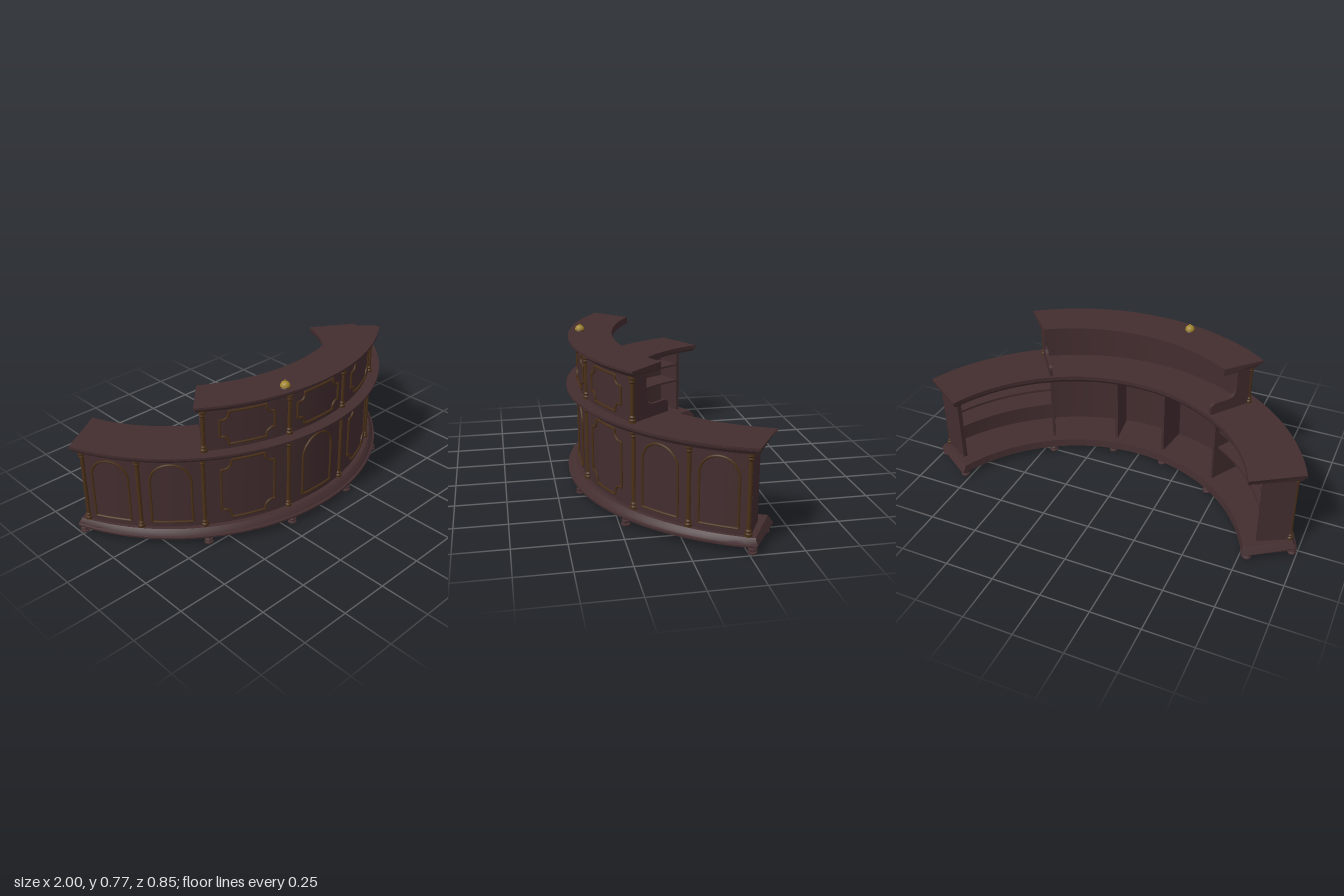
import * as THREE from 'three';
import { toCreasedNormals } from 'three/addons/utils/BufferGeometryUtils.js';

const DEG = Math.PI / 180;
const lerp = THREE.MathUtils.lerp;

// Plan rule: d runs from 0 (front counter edge) through 0.2 (front wall) to 1 (inner counter edge).
function plan(tDeg, d, y) {
  const outer = d < 0.2, k = outer ? d / 0.2 : (d - 0.2) / 0.8;
  const r = outer ? lerp(1.064, 1.047, k) : lerp(1.047, 0.819, k);
  const zc = outer ? lerp(-0.644, -0.69, k) : lerp(-0.69, -0.709, k);
  return new THREE.Vector3(r * Math.sin(tDeg * DEG), y, zc + r * Math.cos(tDeg * DEG));
}

// Sweeps a closed profile of [d, y, endInset] round the curve, capped at both ends.
function sweep(profile, t1, t0 = -t1, segs = 48) {
  const pos = [], n = profile.length;
  const at = (i, s) => {
    const [d, y, e = 0] = profile[i];
    return plan(lerp(t0 + e, t1 - e, s), d, y);
  };
  const tri = (...v) => v.forEach((p) => pos.push(p.x, p.y, p.z));
  for (let s = 0; s < segs; s++) {
    for (let i = 0; i < n; i++) {
      const j = (i + 1) % n, s0 = s / segs, s1 = (s + 1) / segs;
      tri(at(i, s0), at(i, s1), at(j, s1));
      tri(at(i, s0), at(j, s1), at(j, s0));
    }
  }
  const flat = profile.map(([d, y]) => new THREE.Vector2(-d, y));
  for (const [a, b, c] of THREE.ShapeUtils.triangulateShape(flat, [])) {
    tri(at(a, 0), at(b, 0), at(c, 0));
    tri(at(a, 1), at(c, 1), at(b, 1));
  }
  const g = new THREE.BufferGeometry();
  g.setAttribute('position', new THREE.Float32BufferAttribute(pos, 3));
  return toCreasedNormals(g, 0.4);
}

// Rectangular section, inner edge first
const rect = (d0, d1, y0, y1) => [[d1, y0], [d0, y0], [d0, y1], [d1, y1]];

// Outline with arched head
function archOutline(w, y0, y1) {
  const pts = [[-w, y0], [w, y0]];
  for (let i = 0; i <= 16; i++) {
    const a = (i / 16) * Math.PI;
    pts.push([w * Math.cos(a), y1 - w + w * Math.sin(a)]);
  }
  return pts;
}

// Rectangle outline with scooped, stepped corners
function scoopOutline(w, y0, y1, n) {
  const h = (y1 - y0) / 2, c = (y0 + y1) / 2, s = 0.012, pts = [];
  const corner = [[w, h - n]];
  for (let i = 0; i <= 6; i++) {
    const a = (i / 6) * Math.PI / 2;
    corner.push([w - s - (n - s) * Math.sin(a), h - s - (n - s) * Math.cos(a)]);
  }
  corner.push([w - n, h]);
  for (const [sx, sy] of [[1, 1], [-1, 1], [-1, -1], [1, -1]]) {
    const c4 = corner.map(([x, y]) => [sx * x, c + sy * y]);
    pts.push(...(sx * sy > 0 ? c4 : c4.reverse()));
  }
  return pts;
}

// Raised bead following an outline bent on to the front wall
function bead(outline, tc) {
  const pts = [];
  outline.forEach(([u, y], i) => {
    const [u2, y2] = outline[(i + 1) % outline.length];
    const steps = Math.max(1, Math.ceil(Math.hypot(u2 - u, y2 - y) / 0.03));
    for (let k = 0; k < steps; k++) {
      const t = tc + lerp(u, u2, k / steps) / 1.047 / DEG;
      pts.push(plan(t, 0.19, lerp(y, y2, k / steps)));
    }
  });
  const path = new THREE.CatmullRomCurve3(pts, true, 'catmullrom', 0.1);
  return new THREE.TubeGeometry(path, 140, 0.006, 6, true);
}

// Turned column with base and capital
function column(y0, y1) {
  const p = [[0, y0], [0.017, y0], [0.017, y0 + 0.012], [0.012, y0 + 0.018], [0.015, y0 + 0.026],
    [0.01, y0 + 0.034], [0.01, y1 - 0.034], [0.015, y1 - 0.026], [0.012, y1 - 0.018],
    [0.017, y1 - 0.012], [0.017, y1], [0, y1]];
  return toCreasedNormals(new THREE.LatheGeometry(p.map(([x, y]) => new THREE.Vector2(x, y)), 12), 0.5);
}

export function createModel() {
  const root = new THREE.Group();
  const material = (name, color) => {
    const m = new THREE.MeshStandardMaterial({ color });
    m.name = name;
    return m;
  };
  const wood = material('dark wood', 0x432d2f);
  const trim = material('bronze brown trim', 0x4a3018);
  const brass = material('brass', 0xa08530);
  const add = (name, geo, mat, p) => {
    const m = new THREE.Mesh(geo, mat);
    m.name = name;
    if (p) m.position.copy(p);
    root.add(m);
    return m;
  };

  // Plinth, lower carcass and main counter
  add('plinth', sweep([[1, 0.032], [0, 0.032], [0, 0.041], [0.04, 0.044], [0.07, 0.058], [0.12, 0.07],
    [0.98, 0.07]].map(([d, y]) => [d, y, y > 0.043 ? (y - 0.04) * 60 : 0]), 70), wood);
  add('frontWall', sweep(rect(0.2, 0.26, 0.07, 0.46), 66), wood);
  add('mainCounter', sweep([[0.97, 0.45, 1.5], [0.1, 0.45, 1.5], [0.08, 0.458, 1.2], [0.03, 0.466, 0.6],
    [0.02, 0.472, 0.3], [0, 0.474], [0, 0.485], [1, 0.485], [1, 0.465]], 70), wood);

  // Upper wall and raised counter
  add('upperWall', sweep(rect(0.2, 0.27, 0.48, 0.705), 33.6), wood);
  add('raisedCounter', sweep([[0.77, 0.698, 3.5], [0.16, 0.698, 1.5], [0.13, 0.71, 1.2], [0.08, 0.718, 0.6],
    [0.05, 0.724], [0.05, 0.735], [0.77, 0.735, 3.5]], 36.9), wood);

  // Stepped end bracket of the upper part
  const bracket = new THREE.Shape();
  bracket.moveTo(0, 0.48);
  bracket.lineTo(0.225, 0.48);
  bracket.lineTo(0.225, 0.52);
  bracket.quadraticCurveTo(0.222, 0.545, 0.195, 0.545);
  bracket.lineTo(0.12, 0.545);
  bracket.quadraticCurveTo(0.08, 0.55, 0.078, 0.59);
  bracket.lineTo(0.078, 0.7);
  bracket.lineTo(0, 0.7);
  const bracketGeo = new THREE.ExtrudeGeometry(bracket, { depth: 0.016, bevelEnabled: false, curveSegments: 10 });
  bracketGeo.translate(0, 0, -0.008);

  for (const side of [1, -1]) {
    const b = add('upperEndBracket', bracketGeo, wood, new THREE.Vector3(side * 0.575, 0, 0.178));
    b.rotation.y = Math.atan2(0.8, -0.6 * side);

    // End panel, dividers and shelves behind the front wall
    const rib = (name, t, w, d1) =>
      add(name, sweep(rect(0.24, d1, 0.065, 0.46), side * t + w, side * t - w, 1), wood);
    rib('endPanel', 65.3, 0.7, 0.74);
    rib('divider', 32, 0.5, 0.83);
    rib('divider', 9, 0.5, 0.83);
    for (const y of [0.25, 0.35]) {
      const [a, c] = side > 0 ? [32, 65] : [-65, -32];
      add('shelf', sweep(rect(0.25, 0.74, y, y + 0.012), c, a, 12), wood);
    }

    // Columns
    for (const t of [10.2, 34, 50.6, 65.5]) add('column', column(0.07, 0.45), trim, plan(side * t, 0.195, 0));
    for (const t of [10.2, 33.6]) add('upperColumn', column(0.485, 0.7), trim, plan(side * t, 0.195, 0));

    // Panel beads
    add('archBead', bead(archOutline(0.097, 0.1, 0.422), side * 42.4), trim);
    add('archBead', bead(archOutline(0.09, 0.1, 0.422), side * 58.2), trim);
    add('panelBead', bead(scoopOutline(0.135, 0.097, 0.422, 0.05), side * 22.1), trim);
    add('upperPanelBead', bead(scoopOutline(0.135, 0.51, 0.68, 0.042), side * 22.1), trim);

    // Turned feet
    const foot = new THREE.LatheGeometry([[0, 0], [0.022, 0], [0.022, 0.006], [0.012, 0.01], [0.012, 0.013],
      [0.021, 0.018], [0.021, 0.023], [0.013, 0.027], [0.013, 0.033]]
      .map(([x, y]) => new THREE.Vector2(x, y)), 14);
    for (const [x, z] of [[0.2, 0.385], [0.6, 0.22], [0.975, -0.268], [0.145, 0.13], [0.45, 0], [0.785, -0.385]]) {
      add('foot', toCreasedNormals(foot, 0.5), wood, new THREE.Vector3(side * x, 0, z));
    }
  }
  add('archBead', bead(archOutline(0.1, 0.1, 0.418), 0), trim);
  add('upperPanelBead', bead(scoopOutline(0.14, 0.51, 0.68, 0.042), 0), trim);

  // Service bell
  const bell = new THREE.Group();
  bell.name = 'bell';
  bell.position.set(-0.203, 0.735, 0.328);
  const bellPart = (name, geo, mat, y) => {
    const m = new THREE.Mesh(geo, mat);
    m.name = name;
    m.position.y = y;
    bell.add(m);
  };
  bellPart('bellBase', new THREE.CylinderGeometry(0.02, 0.026, 0.007, 24), trim, 0.0035);
  bellPart('bellDome', new THREE.SphereGeometry(0.024, 24, 10, 0, Math.PI * 2, 0, Math.PI / 2), brass, 0.006);
  bellPart('bellRim', new THREE.CylinderGeometry(0.024, 0.024, 0.002, 24), brass, 0.006);
  bellPart('bellButton', new THREE.CylinderGeometry(0.003, 0.003, 0.008, 10), brass, 0.032);
  root.add(bell);
  return root;
}
